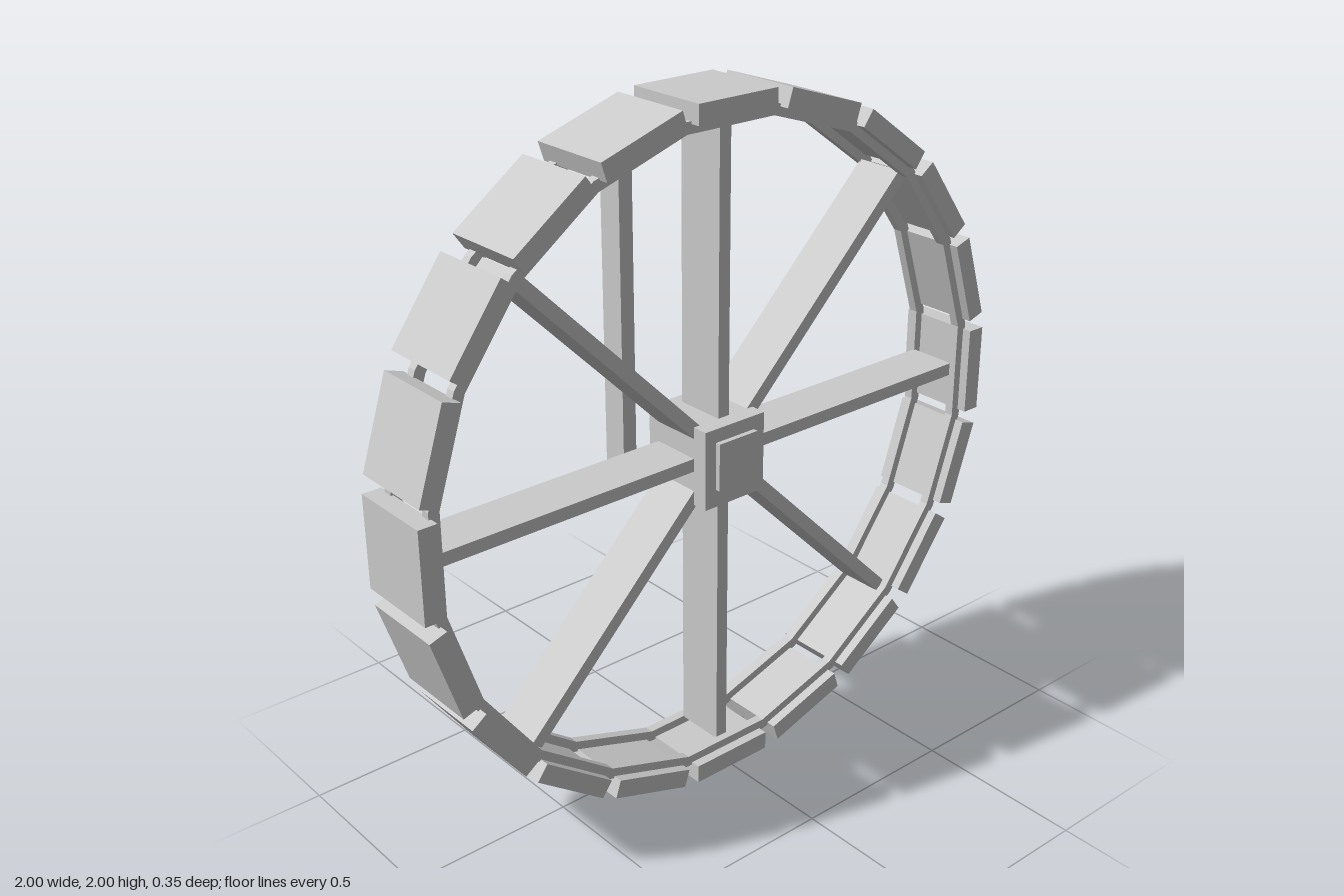
import * as THREE from 'three';

const SIDES = 20;
const CENTRE_Y = 1;
const MID_Z = 0.0375; // middle plane of the wheel

export function createModel() {
  const model = new THREE.Group();
  model.name = 'paddedWheel';
  const material = new THREE.MeshStandardMaterial({ color: 0xcccccc, flatShading: true });

  // Box given by its limits on each axis
  function box(name, [x0, x1], [y0, y1], [z0, z1], parent = model) {
    const mesh = new THREE.Mesh(new THREE.BoxGeometry(x1 - x0, y1 - y0, z1 - z0), material);
    mesh.position.set((x0 + x1) / 2, (y0 + y1) / 2, (z0 + z1) / 2);
    mesh.name = name;
    parent.add(mesh);
    return mesh;
  }

  // Polygon whose flat sides lie at the given distance from the centre
  function polygon(apothem) {
    const r = apothem / Math.cos(Math.PI / SIDES);
    return Array.from({ length: SIDES }, (_, i) => {
      const a = ((i + 0.5) / SIDES) * Math.PI * 2;
      return new THREE.Vector2(r * Math.cos(a), r * Math.sin(a));
    });
  }

  const wheel = new THREE.Group();
  wheel.name = 'wheel';
  wheel.position.y = CENTRE_Y;
  model.add(wheel);

  // Two thin twenty-sided rims
  const rimShape = new THREE.Shape(polygon(0.95));
  rimShape.holes.push(new THREE.Path(polygon(0.918)));
  const rimGeometry = new THREE.ExtrudeGeometry(rimShape, { depth: 0.027, bevelEnabled: false });
  for (const [name, z] of [['backRim', -0.06], ['frontRim', 0.108]]) {
    const rim = new THREE.Mesh(rimGeometry, material);
    rim.position.z = z;
    rim.name = name;
    wheel.add(rim);
  }

  // Flat pads around the outside
  for (let i = 0; i < SIDES; i++) {
    const arm = new THREE.Group();
    arm.name = 'treadPad';
    arm.rotation.z = (i / SIDES) * Math.PI * 2;
    box('pad', [0.943, 0.998], [-0.132, 0.132], [-0.088, 0.163], arm);
    wheel.add(arm);
  }

  // Eight plank spokes; the diagonal ones reach into the rim corners
  for (let i = 0; i < 8; i++) {
    const arm = new THREE.Group();
    arm.name = 'spoke';
    arm.rotation.z = (i * Math.PI) / 4;
    const end = i % 2 ? 0.935 : 0.922;
    box('spokePlank', [0.05, end], [-0.019, 0.019], [MID_Z - 0.075, MID_Z + 0.075], arm);
    wheel.add(arm);
  }

  // Hub block with a raised square cap
  box('hub', [-0.105, 0.105], [-0.12, 0.112], [-0.075, 0.16], wheel);
  box('hubCap', [-0.068, 0.068], [-0.068, 0.072], [0.15, 0.175], wheel);

  // Hanging frame behind the wheel
  const frame = new THREE.Group();
  frame.name = 'rearFrame';
  model.add(frame);
  for (const s of [-1, 1]) {
    const x = s * 0.165;
    box('frameLeg', [x - 0.022, x + 0.022], [0.88, 1.92], [-0.165, -0.088], frame);
    box('legBracket', [x - 0.04, x + 0.04], [1.845, 1.928], [-0.175, -0.088], frame);
  }
  box('crossbar', [-0.15, 0.15], [1.845, 1.912], [-0.168, -0.092], frame);

  return model;
}
